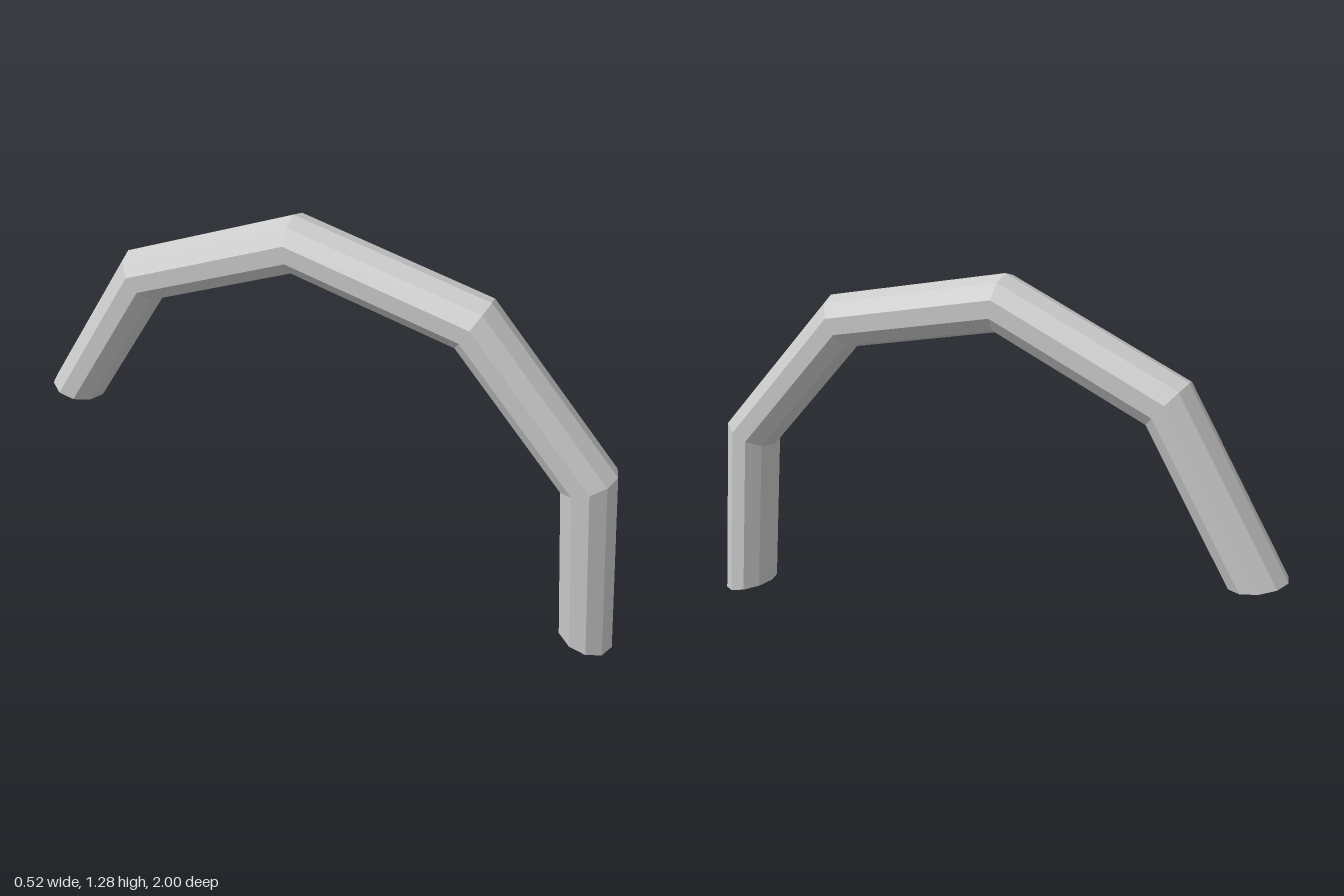
import * as THREE from 'three';

const SIDES = 10;
const RADIUS = 0.092;
const YAW = 0.185; // the arch's plane is turned slightly about y

// Outer and inner point of each ring, as [z, y]
const rings = [
  { outer: [1.0, 0.0], inner: [0.826, 0.045] },
  { outer: [0.943, 0.65], inner: [0.779, 0.575] },
  { outer: [0.526, 1.131], inner: [0.436, 0.976] },
  { outer: [-0.088, 1.275], inner: [-0.072, 1.094] },
  { outer: [-0.668, 1.023], inner: [-0.554, 0.885] },
  { outer: [-1.0, 0.468], inner: [-0.821, 0.43] },
];

// Point in the arch's plane at the given z and y
const inPlane = ([z, y]) => new THREE.Vector3(z * Math.tan(YAW), y, z);

function buildArchTube() {
  const across = new THREE.Vector3(Math.cos(YAW), 0, -Math.sin(YAW));
  const positions = [];
  const indices = [];
  rings.forEach(({ outer, inner }, i) => {
    const a = inPlane(outer);
    const b = inPlane(inner);
    const center = a.clone().add(b).multiplyScalar(0.5);
    const up = a.sub(b).normalize();
    for (let j = 0; j < SIDES; j++) {
      const t = (j / SIDES) * Math.PI * 2;
      const p = center.clone()
        .addScaledVector(up, Math.cos(t) * RADIUS)
        .addScaledVector(across, Math.sin(t) * RADIUS);
      positions.push(p.x, p.y, p.z);
      if (i === rings.length - 1) continue;
      const k = (j + 1) % SIDES;
      const r0 = i * SIDES;
      const r1 = r0 + SIDES;
      indices.push(r0 + j, r0 + k, r1 + j, r0 + k, r1 + k, r1 + j);
    }
  });
  const geometry = new THREE.BufferGeometry();
  geometry.setAttribute('position', new THREE.Float32BufferAttribute(positions, 3));
  geometry.setIndex(indices);
  geometry.computeVertexNormals();
  return geometry;
}

export function createModel() {
  const group = new THREE.Group();
  group.name = 'archedPipe';

  // Open-ended bent pipe
  const material = new THREE.MeshStandardMaterial({
    color: 0xcccccc, flatShading: true, side: THREE.DoubleSide,
  });
  const pipe = new THREE.Mesh(buildArchTube(), material);
  pipe.name = 'pipe';
  group.add(pipe);
  return group;
}
